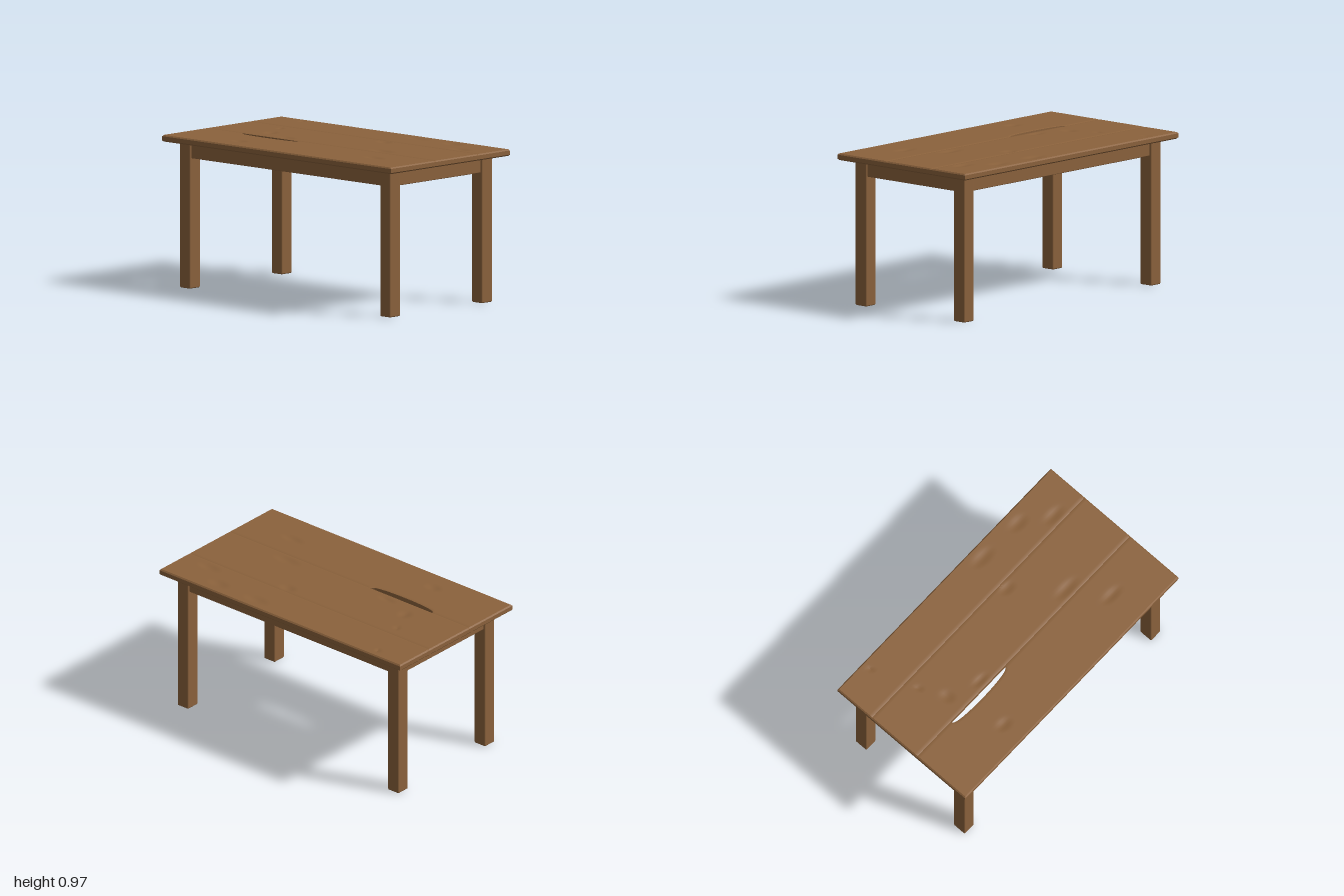
import * as THREE from 'three';
import { toCreasedNormals } from 'three/addons/utils/BufferGeometryUtils.js';
import { RoundedBoxGeometry } from 'three/addons/geometries/RoundedBoxGeometry.js';

const TOP = 0.972, UNDER = 0.93, HALF_LENGTH = 1;

// Worn hollows in the table top: x, z, radius in x, radius in z
const DENTS = [
  [-0.39, -0.47, 0.045, 0.07], [0.21, 0.22, 0.045, 0.07], [0.46, 0.27, 0.05, 0.11],
  [0.45, 0.59, 0.05, 0.09], [0.32, 0.78, 0.045, 0.1], [-0.31, 0.63, 0.04, 0.1],
  [-0.07, 0.47, 0.045, 0.12], [0, -0.57, 0.06, 0.05], [0.17, -0.65, 0.035, 0.02],
  [0.48, -0.76, 0.03, 0.02], [-0.08, -0.35, 0.03, 0.08],
];

function dentDepth(x, z) {
  let depth = 0;
  for (const [cx, cz, rx, rz] of DENTS) {
    const d = ((x - cx) / rx) ** 2 + ((z - cz) / rz) ** 2;
    if (d < 1) depth += 0.007 * (1 - d) ** 2;
  }
  return depth;
}

// Width of the split between two planks at z
function splitWidth(z) {
  const t = Math.abs(z + 0.43) / 0.255;
  return t < 1 ? 0.042 * (1 - t * t) ** 0.35 : 0;
}

// One plank: a gridded box with softened edges, hollows and an optional split
function plankGeometry(x0, x1, split) {
  const nx = Math.round((x1 - x0) / 0.015), nz = 120;
  const geo = new THREE.BoxGeometry(1, 1, 1, nx, 1, nz);
  const p = geo.attributes.position;
  const place = (i, n, a, b, rim) => {
    if (i === 0) return a;
    if (i === n) return b;
    return a + rim + (b - a - 2 * rim) * (i - 1) / (n - 2);
  };
  for (let k = 0; k < p.count; k++) {
    const i = Math.round((p.getX(k) + 0.5) * nx);
    const j = Math.round((p.getZ(k) + 0.5) * nz);
    const isTop = p.getY(k) > 0;
    let x = place(i, nx, x0, x1, 0.008);
    const z = place(j, nz, -HALF_LENGTH, HALF_LENGTH, 0.008);
    // outer edges are rounder than the seams between planks
    let bevel = 0;
    if (i === 0 || i === nx) bevel = Math.abs(x) > 0.5 ? 0.008 : 0.0025;
    if (j === 0 || j === nz) bevel = 0.008;
    const y = isTop ? TOP - bevel - dentDepth(x, z) : UNDER + bevel;
    if (split) x -= splitWidth(z) * Math.max(0, (x - x0) / (x1 - x0) * 2 - 1);
    p.setXYZ(k, x, y, z);
  }
  return toCreasedNormals(geo, 0.45);
}

export function createModel() {
  const table = new THREE.Group();
  table.name = 'table';
  const wood = new THREE.MeshStandardMaterial({ color: 0x8b623c });
  wood.name = 'brown wood';

  const add = (name, geo, x = 0, y = 0, z = 0) => {
    const mesh = new THREE.Mesh(geo, wood);
    mesh.name = name;
    mesh.position.set(x, y, z);
    table.add(mesh);
  };

  // Table top
  add('rightPlank', plankGeometry(-0.543, -0.131, true));
  add('middlePlank', plankGeometry(-0.131, 0.255, false));
  add('leftPlank', plankGeometry(0.255, 0.543, false));

  // Legs and aprons, mirrored
  const leg = new RoundedBoxGeometry(0.094, 0.936, 0.09, 3, 0.008);
  const endApron = new RoundedBoxGeometry(0.76, 0.104, 0.055, 2, 0.005);
  const sideApron = new RoundedBoxGeometry(0.055, 0.104, 1.68, 2, 0.005);
  for (const s of [-1, 1]) {
    const end = s > 0 ? 'front' : 'back', side = s > 0 ? 'left' : 'right';
    for (const sx of [-1, 1]) {
      add(end + (sx > 0 ? 'Left' : 'Right') + 'Leg', leg, sx * 0.418, 0.468, s * 0.874);
    }
    add(end + 'Apron', endApron, 0, 0.882, s * 0.878);
    add(side + 'Apron', sideApron, s * 0.422, 0.882, 0);
  }
  return table;
}
